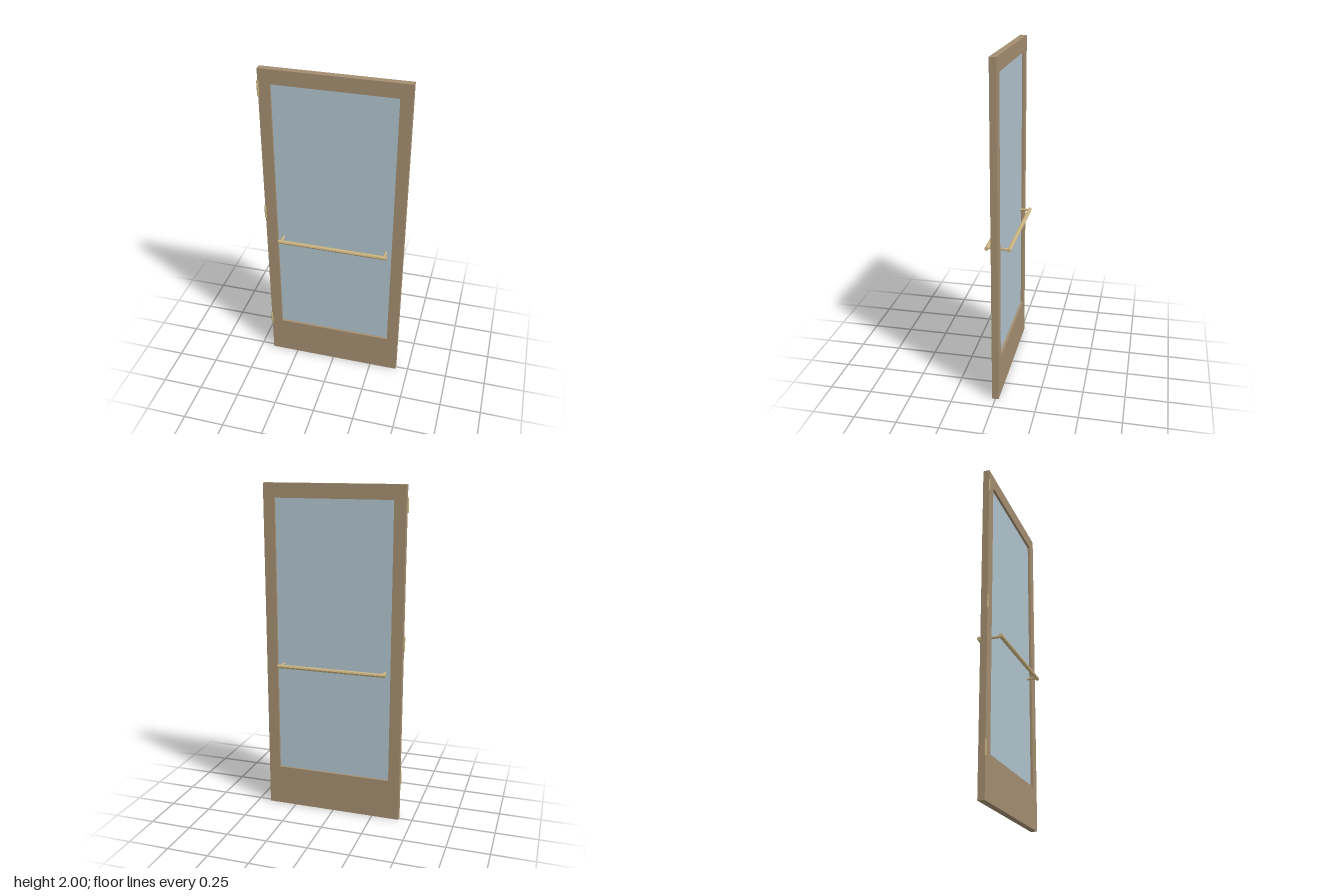
import * as THREE from 'three';

const wood = new THREE.MeshStandardMaterial({ name: 'brown frame', color: 0xa38d70 });
const glass = new THREE.MeshStandardMaterial({ name: 'pale blue glass', color: 0xb0c3cc });
const brass = new THREE.MeshStandardMaterial({ name: 'brass', color: 0xc8b280, flatShading: true });

// Rectangle outline, usable as a shape or a hole
function rect(path, x0, y0, x1, y1) {
  path.moveTo(x0, y0);
  path.lineTo(x1, y0);
  path.lineTo(x1, y1);
  path.lineTo(x0, y1);
  path.closePath();
  return path;
}

export function createModel() {
  const door = new THREE.Group();
  door.name = 'glazedDoor';
  const add = (name, geometry, material, x, y, z) => {
    const mesh = new THREE.Mesh(geometry, material);
    mesh.name = name;
    mesh.position.set(x, y, z);
    door.add(mesh);
    return mesh;
  };
  const cx = 0.002, thickness = 0.039, barY = 0.925;

  // Frame with one tall opening and a deep bottom rail
  const outline = rect(new THREE.Shape(), -0.42, 0, 0.42, 2);
  outline.holes.push(rect(new THREE.Path(), -0.352, 0.248, 0.352, 1.916));
  const frame = new THREE.ExtrudeGeometry(outline, { depth: thickness, bevelEnabled: false });
  add('frame', frame, wood, cx, 0, -thickness / 2);

  // Recessed pane
  add('glassPane', new THREE.BoxGeometry(0.704, 1.668, 0.009), glass, cx, 1.082, 0);

  // Push bars on both faces, each on two posts
  const bar = new THREE.CylinderGeometry(0.012, 0.012, 0.666, 8).rotateZ(Math.PI / 2);
  const post = new THREE.CylinderGeometry(0.0075, 0.0075, 0.06, 8).rotateX(Math.PI / 2);
  for (const side of [1, -1]) {
    const face = side > 0 ? 'front' : 'back';
    add(face + 'PushBar', bar, brass, cx, barY, side * 0.064);
    for (const end of [-1, 1]) {
      add(face + 'BarPost', post, brass, cx + end * 0.316, barY, side * 0.032);
    }
  }

  // Hinge knuckles on the front right edge
  const knuckle = new THREE.CylinderGeometry(0.006, 0.006, 0.085, 8);
  for (const y of [0.265, 1.1, 1.887]) {
    add('hinge', knuckle, brass, -0.418, y, 0.02);
  }

  return door;
}
